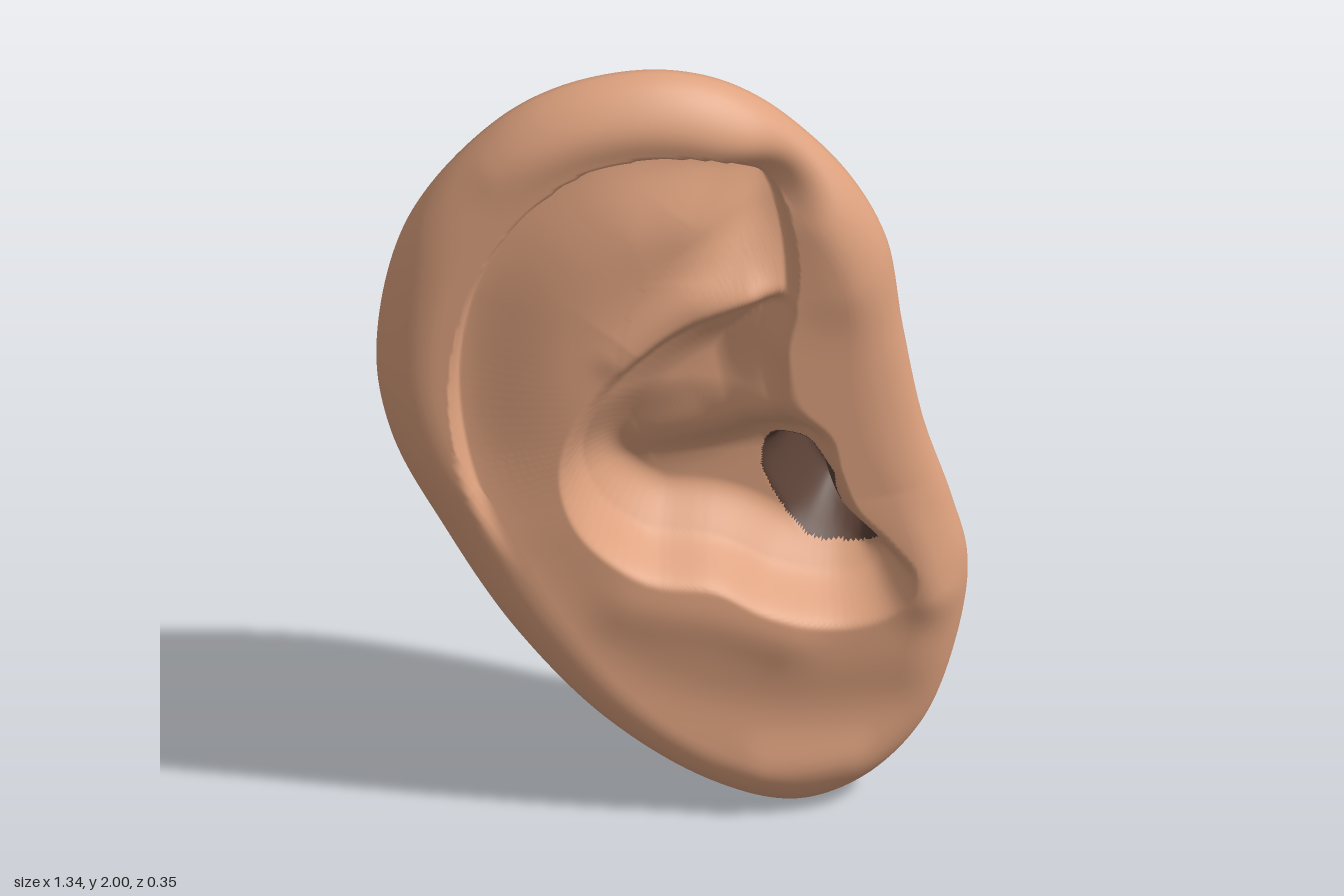
import * as THREE from 'three';

const CX = 0, CY = 1; // hub of the radial mesh
const { smoothstep, lerp } = THREE.MathUtils;

const spline = (pts, closed, n) => new THREE.CatmullRomCurve3(
  pts.map(([x, y]) => new THREE.Vector3(x, y, 0)), closed).getPoints(n);

// Radius of a closed outline as a function of angle about the hub
function polar(pts) {
  const p = spline(pts, true, 300);
  return (a) => {
    const c = Math.cos(a), s = Math.sin(a);
    for (let i = 0; i < p.length - 1; i++) {
      const ax = p[i].x - CX, ay = p[i].y - CY, bx = p[i + 1].x - CX, by = p[i + 1].y - CY;
      const da = c * ay - s * ax, db = c * by - s * bx;
      if (da * db > 0 || da === db) continue;
      const t = da / (da - db);
      const r = c * lerp(ax, bx, t) + s * lerp(ay, by, t);
      if (r > 0) return r;
    }
    return 0.5;
  };
}

// Distance to a curve, position along it (0..1) and which side the point is on
function nearest(p, x, y) {
  let best = { d: Infinity };
  for (let i = 0; i < p.length - 1; i++) {
    const ex = p[i + 1].x - p[i].x, ey = p[i + 1].y - p[i].y;
    const qx = x - p[i].x, qy = y - p[i].y;
    const u = Math.min(1, Math.max(0, (qx * ex + qy * ey) / (ex * ex + ey * ey)));
    const d = Math.hypot(qx - u * ex, qy - u * ey);
    if (d < best.d) best = { d, t: (i + u) / (p.length - 1), left: ex * qy - ey * qx > 0 };
  }
  return best;
}

// Signed distance to a closed region, positive inside
function region(pts) {
  const p = spline(pts, true, 110);
  return (x, y) => {
    let inside = false;
    for (let i = 0; i < p.length - 1; i++) {
      const a = p[i], b = p[i + 1];
      if ((a.y > y) !== (b.y > y) && x < a.x + (b.x - a.x) * (y - a.y) / (b.y - a.y)) inside = !inside;
    }
    return nearest(p, x, y).d * (inside ? 1 : -1);
  };
}

// Soft ridge (or groove, with negative height) along a curve
function ridge(pts, width, h0, h1) {
  const p = spline(pts, false, 40);
  return (x, y) => {
    const n = nearest(p, x, y);
    return lerp(h0, h1, n.t) * Math.exp(-((n.d / width) ** 2));
  };
}

const outline = polar([
  [-0.07, 2], [0.08, 1.975], [0.2, 1.91], [0.32, 1.795], [0.42, 1.66], [0.485, 1.52], [0.52, 1.29],
  [0.565, 1.04], [0.63, 0.82], [0.667, 0.65], [0.645, 0.44], [0.565, 0.2], [0.43, 0.055], [0.28, 0.002],
  [0.09, 0.06], [-0.15, 0.24], [-0.36, 0.5], [-0.52, 0.785], [-0.64, 1.05], [-0.672, 1.29],
  [-0.6, 1.63], [-0.415, 1.87], [-0.26, 1.965]]);
const opening = polar([
  [0.15, 1.655], [-0.05, 1.65], [-0.25, 1.56], [-0.42, 1.34], [-0.5, 1.04], [-0.455, 0.74],
  [-0.3, 0.46], [-0.05, 0.29], [0.14, 0.255], [0.27, 0.29], [0.4, 0.43], [0.45, 0.6],
  [0.455, 0.9], [0.45, 1.3], [0.41, 1.51], [0.31, 1.62]]);

const helixEdge = spline([
  [0.25, 1.32], [0.275, 1.45], [0.27, 1.58], [0.235, 1.69], [0.125, 1.8], [-0.045, 1.83],
  [-0.2, 1.8], [-0.36, 1.67], [-0.47, 1.47], [-0.515, 1.235], [-0.49, 1], [-0.425, 0.82], [-0.34, 0.66]], false, 110);
const concha = region([
  [0.25, 1.42], [0.06, 1.37], [-0.07, 1.29], [-0.2, 1.14], [-0.25, 0.97], [-0.205, 0.81],
  [-0.07, 0.685], [0.09, 0.65], [0.22, 0.575], [0.38, 0.535], [0.49, 0.57], [0.53, 0.65],
  [0.475, 0.74], [0.4, 0.83], [0.36, 0.94], [0.34, 1.03], [0.27, 1.12], [0.24, 1.27]]);
const canal = region([
  [0.3, 0.97], [0.235, 0.935], [0.21, 0.85], [0.245, 0.745], [0.31, 0.655], [0.385, 0.635],
  [0.45, 0.65], [0.463, 0.7], [0.405, 0.77], [0.37, 0.86], [0.355, 0.94]]);

const relief = [
  ridge([[0.2, 1.7], [0.12, 1.56], [0, 1.46], [-0.12, 1.32]], 0.11, -0.075, -0.005), // fossa
  ridge([[0.16, 1.425], [0.02, 1.4], [-0.13, 1.28]], 0.05, 0.02, 0.01), // lower crus
  ridge([[-0.42, 1.82], [-0.2, 1.9], [0, 1.9], [0.15, 1.85]], 0.07, 0.012, 0.016), // helix crown
  ridge([[0.34, 1.6], [0.38, 1.45]], 0.1, 0.012, 0.012), // front of the helix
  ridge([[-0.3, 0.7], [-0.1, 0.42], [0.2, 0.3], [0.5, 0.29]], 0.11, -0.008, -0.016), // above the lobe
  ridge([[0.2, 0.14], [0.38, 0.14]], 0.07, 0.012, 0.012), // lobe
  ridge([[-0.1, 0.6], [0.1, 0.56], [0.25, 0.5]], 0.08, 0.01, 0.015), // antitragus
  ridge([[0.5, 0.88], [0.52, 0.76], [0.59, 0.6]], 0.08, 0, 0.025), // tragus
];
const crus = ridge([[0.33, 1.2], [0.2, 1.09], [0.1, 1.01], [-0.06, 0.95]], 0.08, 0.1, 0.03);

// Height of the front skin
function height(x, y) {
  let z = 0.155;
  for (const f of relief) z += f(x, y);
  const n = nearest(helixEdge, x, y);
  if (n.left) {
    const fade = smoothstep(n.t, 0, 0.2) * (1 - smoothstep(n.t, 0.68, 1));
    z -= 0.085 * fade * smoothstep(n.d, -0.005, 0.028) * Math.exp(-((n.d / 0.17) ** 2));
  }
  // steep lip, then a gentle bowl
  const d = concha(x, y);
  const bowl = 0.5 * smoothstep(d, -0.02, 0.05) + 0.5 * smoothstep(d, 0, 0.15);
  const floor = lerp(-0.06, 0.03, smoothstep(y, 0.88, 1.15));
  return lerp(z, floor + crus(x, y), bowl);
}

export function createModel() {
  const skin = new THREE.MeshStandardMaterial({ color: 0xdda17e, side: THREE.DoubleSide });
  skin.name = 'skin';
  const dark = new THREE.MeshStandardMaterial({ color: 0x5a4035, side: THREE.DoubleSide });
  dark.name = 'dark brown';

  const SEG = 400, FLAT = 110, ROLL = 18, BACK = 16, W = 0.14;
  const rings = FLAT + ROLL + BACK;
  const pos = [], inCanal = [];
  const radii = [];
  for (let j = 0; j < SEG; j++) {
    const a = j / SEG * Math.PI * 2;
    radii.push([Math.cos(a), Math.sin(a), outline(a), opening(a)]);
  }
  for (let i = 0; i <= rings; i++) {
    for (const [c, s, R, hole] of radii) {
      const side = Math.max(0, c) ** 2; // the cheek side leans forward
      const mid = 0.045 + 0.035 * side;
      let r, z, pit = 0;
      if (i <= FLAT + ROLL) { // front skin, then rounded rim
        const k = Math.max(0, i - FLAT) / ROLL * Math.PI / 2;
        r = i <= FLAT ? (R - W) * i / FLAT : R - W * (1 - Math.sin(k));
        const x = CX + r * c, y = CY + r * s;
        z = lerp(mid, height(x, y), Math.cos(k));
        const d = canal(x, y);
        pit = smoothstep(d, 0, 0.075);
        z = lerp(z, -0.178, pit);
        inCanal.push(d > 0);
      } else { // back of the rim, ending at the open back; straighter on the cheek side
        const t = (i - FLAT - ROLL) / BACK, k = t * Math.PI / 2;
        const straight = 0.25 + 0.55 * side;
        r = lerp(hole, R, lerp(Math.cos(k), 1 - t, straight));
        z = lerp(mid, -0.112 - 0.02 * side, lerp(Math.sin(k), t, straight));
        inCanal.push(false);
      }
      pos.push(CX + r * c + 0.03 * pit, CY + r * s + 0.02 * pit, z);
    }
  }

  const skinFaces = [], canalFaces = [];
  for (let i = 0; i < rings; i++) {
    for (let j = 0; j < SEG; j++) {
      const k = (j + 1) % SEG;
      const a = i * SEG + j, b = a + SEG, c = (i + 1) * SEG + k, d = i * SEG + k;
      for (const f of [[a, b, c], [a, c, d]]) {
        const hits = f.filter((v) => inCanal[v]).length;
        (hits > 1 ? canalFaces : skinFaces).push(...f);
      }
    }
  }
  const geo = new THREE.BufferGeometry();
  geo.setAttribute('position', new THREE.Float32BufferAttribute(pos, 3));
  geo.setIndex(skinFaces.concat(canalFaces));
  geo.addGroup(0, skinFaces.length, 0);
  geo.addGroup(skinFaces.length, canalFaces.length, 1);
  geo.computeVertexNormals();

  const ear = new THREE.Mesh(geo, [skin, dark]);
  ear.name = 'earWithCanal';
  const group = new THREE.Group();
  group.name = 'ear';
  group.add(ear);
  return group;
}
